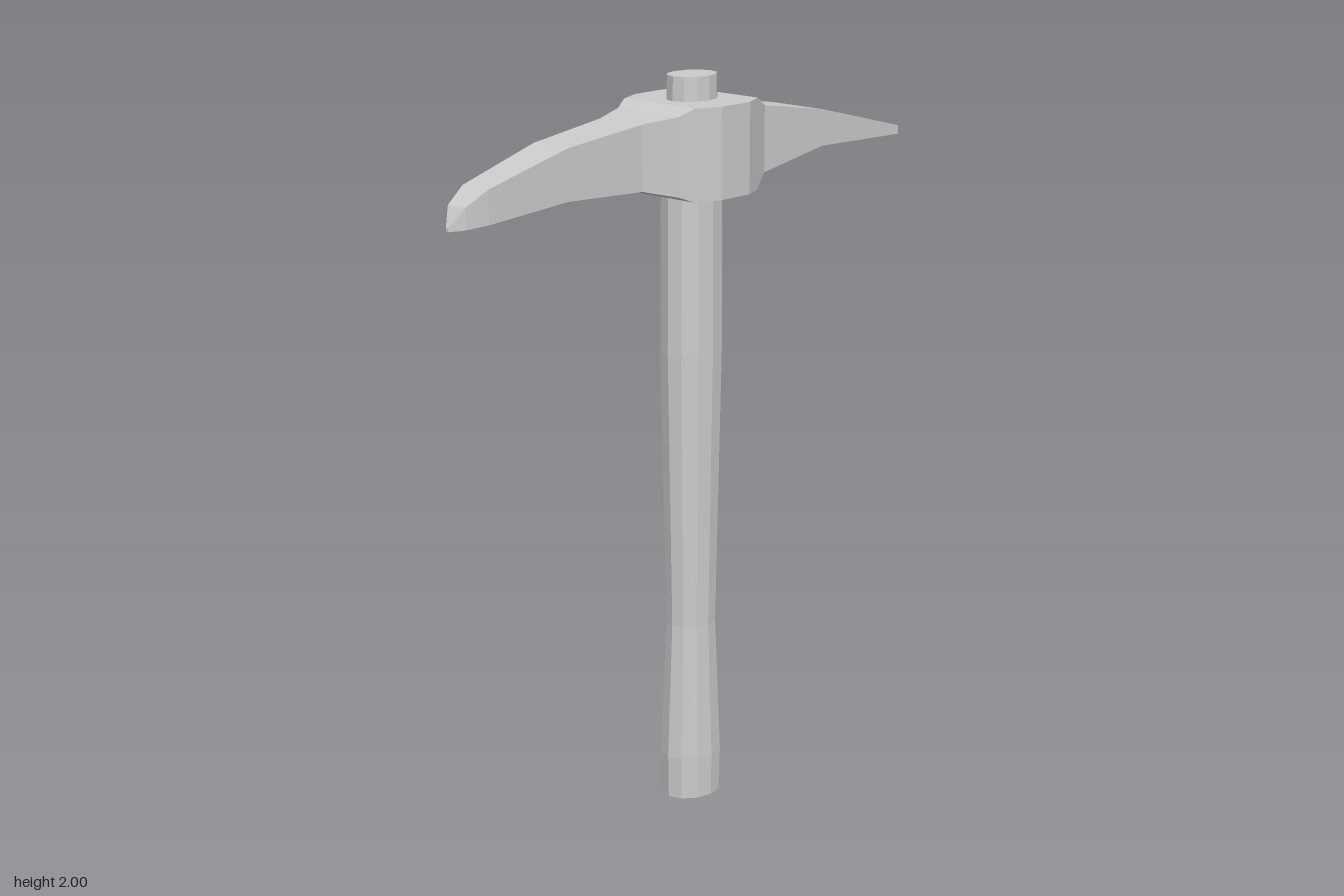
import * as THREE from 'three';

const material = new THREE.MeshStandardMaterial({ color: 0xcccccc, flatShading: true });

// Rectangular cross-sections [z, halfWidth, bottom, top], ordered back to front
function loftAlongZ(sections) {
  const positions = [], index = [];
  for (const [z, w, b, t] of sections) {
    positions.push(-w, b, z, w, b, z, w, t, z, -w, t, z);
  }
  for (let k = 0; k < sections.length - 1; k++) {
    for (let i = 0; i < 4; i++) {
      const a = k * 4 + i, b = k * 4 + (i + 1) % 4;
      index.push(a, b, b + 4, a, b + 4, a + 4);
    }
  }
  const e = (sections.length - 1) * 4;
  index.push(0, 2, 1, 0, 3, 2, e, e + 1, e + 2, e, e + 2, e + 3);
  const indexed = new THREE.BufferGeometry();
  indexed.setAttribute('position', new THREE.Float32BufferAttribute(positions, 3));
  indexed.setIndex(index);
  const geometry = indexed.toNonIndexed();
  geometry.computeVertexNormals();
  return geometry;
}

export function createModel() {
  const group = new THREE.Group();
  group.name = 'pickaxe';

  // Head: flat blade at the back, wide eye, tapered pick at the front
  const head = new THREE.Mesh(loftAlongZ([
    [-0.81, 0.09, 1.758, 1.782],
    [-0.48, 0.09, 1.767, 1.866],
    [-0.24, 0.09, 1.727, 1.905],
    [-0.175, 0.122, 1.695, 1.936],
    [-0.11, 0.153, 1.695, 1.936],
    [0.0, 0.153, 1.695, 1.936],
    [0.07, 0.123, 1.695, 1.936],
    [0.11, 0.107, 1.711, 1.918],
    [0.21, 0.073, 1.736, 1.907],
    [0.46, 0.059, 1.745, 1.878],
    [0.715, 0.045, 1.723, 1.81],
    [0.778, 0.03, 1.718, 1.772],
    [0.81, 0.004, 1.715, 1.724],
  ]), material);
  head.name = 'head';
  group.add(head);

  // Handle: oval shaft with a narrow waist and a tenon through the head
  const profile = [
    [0, 0], [0.075, 0], [0.077, 0.12], [0.063, 0.5], [0.068, 0.78],
    [0.077, 1.27], [0.075, 1.72], [0.063, 1.86], [0.06, 2], [0, 2],
  ].map(([r, y]) => new THREE.Vector2(r, y));
  const handle = new THREE.Mesh(new THREE.LatheGeometry(profile, 12), material);
  handle.name = 'handle';
  handle.scale.z = 1.21;
  handle.position.z = -0.055;
  group.add(handle);

  return group;
}
